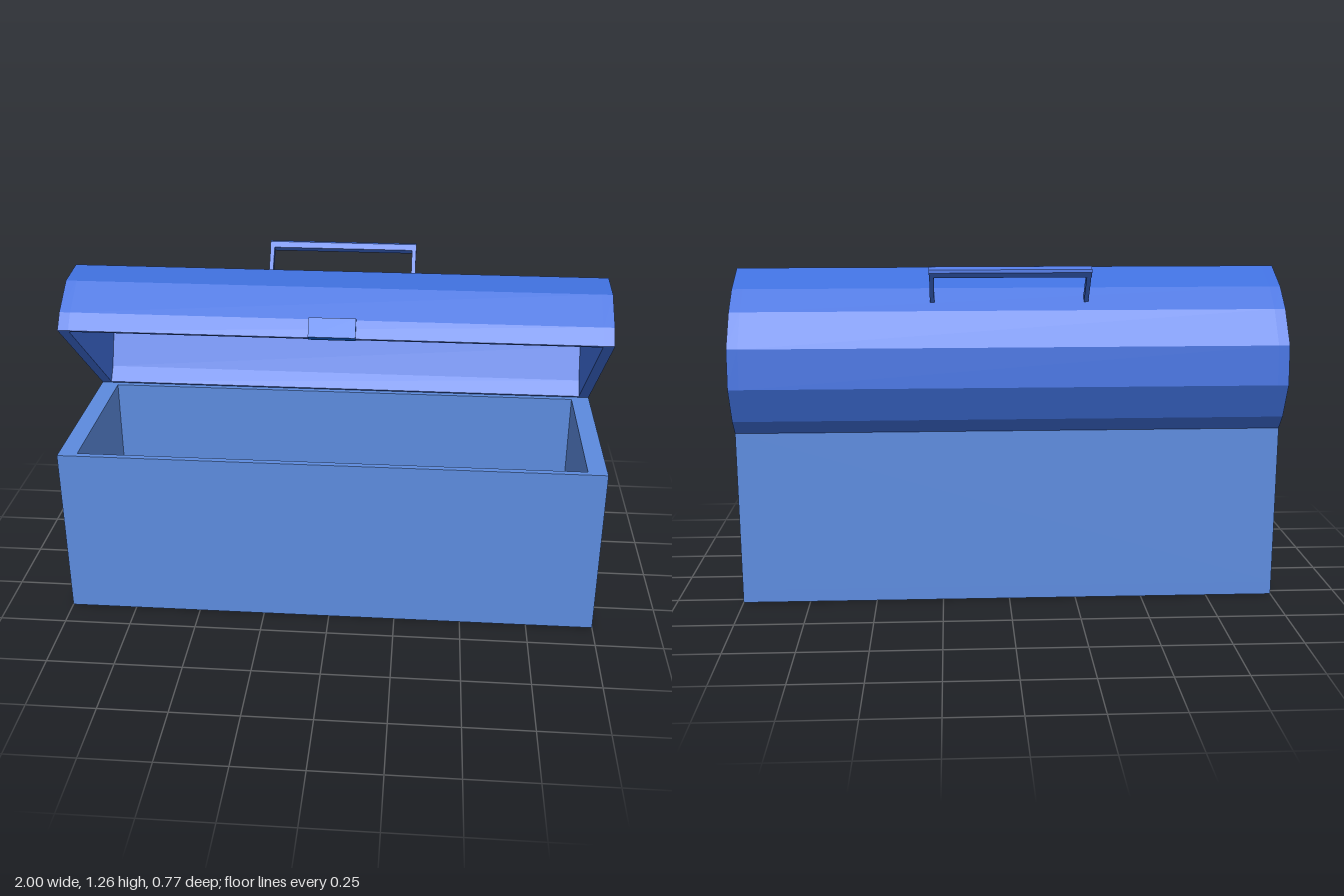
import * as THREE from 'three';

const material = (color) => new THREE.MeshStandardMaterial({ color, flatShading: true });
const baseMaterial = material(0x5c8bde);
const lidMaterial = material(0x3f6fdc);
const latchMaterial = material(0x0b66dd);

const toShape = (points) => new THREE.Shape(points.map(([x, y]) => new THREE.Vector2(x, y)));

function addMesh(parent, name, geometry, mat, x = 0, y = 0, z = 0) {
  const mesh = new THREE.Mesh(geometry, mat);
  mesh.name = name;
  mesh.position.set(x, y, z);
  parent.add(mesh);
  return mesh;
}

// Extrudes a (z, y) profile along x, centred on x = 0
function extrudeAlongX(points, length) {
  const geometry = new THREE.ExtrudeGeometry(toShape(points), { depth: length, bevelEnabled: false });
  return geometry.translate(0, 0, -length / 2).rotateY(-Math.PI / 2);
}

const rectangle = (w, d) => [[-w / 2, -d / 2], [w / 2, -d / 2], [w / 2, d / 2], [-w / 2, d / 2]];

export function createModel() {
  const model = new THREE.Group();
  model.name = 'toolbox';
  const width = 2, depth = 0.67, height = 0.653, floor = 0.05;
  const centreZ = 0.053;

  // Open base: floor slab and a frame of four walls
  const base = new THREE.Group();
  base.name = 'base';
  base.position.z = centreZ;
  model.add(base);
  addMesh(base, 'floor', new THREE.BoxGeometry(width, floor, depth), baseMaterial, 0, floor / 2, 0);
  const frame = toShape(rectangle(width, depth));
  frame.holes.push(toShape(rectangle(width * 0.93, depth * 0.93)));
  const walls = new THREE.ExtrudeGeometry(frame, { depth: height - floor, bevelEnabled: false });
  addMesh(base, 'walls', walls.rotateX(-Math.PI / 2), baseMaterial, 0, floor, 0);

  // Lid group pivots on the hinge at the back top edge
  const lid = new THREE.Group();
  lid.name = 'lid';
  lid.position.set(0, height, centreZ - depth / 2);
  lid.rotation.x = THREE.MathUtils.degToRad(-40);
  model.add(lid);

  // Faceted arch, mirrored about the middle of the lid
  const half = [[0.335, 0], [0.335, 0.07], [0.298, 0.207], [0.198, 0.31], [0.056, 0.347]];
  const arch = [...half, ...half.slice().reverse().map(([z, y]) => [-z, y])];
  const inner = arch.map(([z, y]) => [z * 0.96, y * 0.96]);
  const capThickness = 0.04;
  const shell = extrudeAlongX([...arch, ...inner.slice().reverse()], width - 2 * capThickness);
  addMesh(lid, 'lidShell', shell, lidMaterial, 0, 0, depth / 2);
  for (const side of [-1, 1]) {
    addMesh(lid, side < 0 ? 'rightLidEnd' : 'leftLidEnd', extrudeAlongX(arch, capThickness), lidMaterial,
      side * (width - capThickness) / 2, 0, depth / 2);
  }

  // Latch plate on the front lip
  addMesh(lid, 'latch', new THREE.BoxGeometry(0.17, 0.074, 0.03), latchMaterial, 0, 0.035, depth - 0.001);

  // Carrying handle: bar with chamfered top on two thin legs
  const handle = new THREE.Group();
  handle.name = 'handle';
  handle.position.set(0, 0.34, depth / 2);
  lid.add(handle);
  const bar = [[-0.016, 0.135], [0.016, 0.135], [0.016, 0.159], [0.008, 0.167], [-0.008, 0.167], [-0.016, 0.159]];
  addMesh(handle, 'handleBar', extrudeAlongX(bar, 0.574), lidMaterial);
  for (const side of [-1, 1]) {
    addMesh(handle, side < 0 ? 'rightHandleLeg' : 'leftHandleLeg', new THREE.BoxGeometry(0.016, 0.14, 0.03),
      lidMaterial, side * 0.278, 0.07, 0);
  }
  return model;
}
